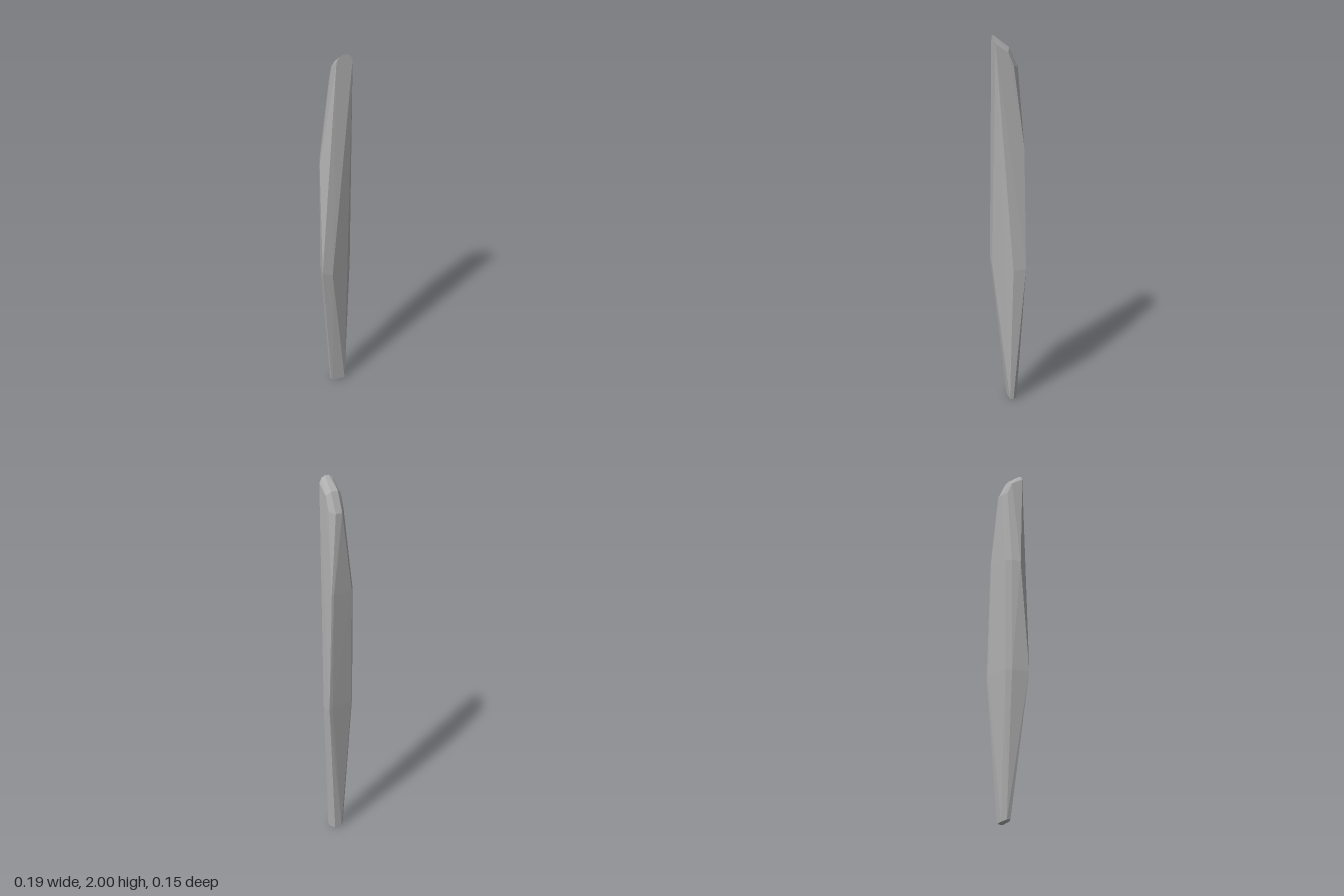
import * as THREE from 'three';
import { ConvexGeometry } from 'three/addons/geometries/ConvexGeometry.js';

export function createModel() {
  const group = new THREE.Group();
  const grey = new THREE.MeshStandardMaterial({ color: 0xb0b0b0 });
  grey.name = 'stoneGrey';

  // Each section lists the corners [x, y, z] of the faceted shard
  const foot = [
    [-0.02, 0.015, 0], [-0.01, 0.005, 0], [0.06, 0.005, 0],
    [-0.02, 0.01, -0.02], [0.06, 0.005, -0.02],
    [0.0, 0.0, -0.042], [0.04, 0.0, -0.042],
  ];
  const belly = [
    [-0.095, 0.78, 0.068], [-0.04, 0.76, 0.07], [0.09, 0.77, -0.01],
    [0.092, 0.78, -0.077], [0.072, 0.79, -0.075],
    [-0.055, 0.78, -0.047], [-0.075, 0.78, -0.02],
  ];
  const shoulder = [
    [-0.091, 1.4, 0.024], [-0.075, 1.41, -0.02],
    [-0.055, 1.41, -0.047], [0.06, 1.43, -0.071], [0.073, 1.43, -0.07],
  ];
  // Rounded tip, sloping down towards the back
  const tip = [
    [-0.022, 1.965, 0.075], [-0.008, 1.99, 0.075], [0.01, 2, 0.075],
    [0.03, 2, 0.075], [0.05, 1.99, 0.075], [0.061, 1.965, 0.075],
    [-0.022, 1.92, 0.01], [0.0, 1.94, 0.0], [0.038, 1.94, 0.0], [0.061, 1.92, 0.01],
    [-0.022, 1.85, -0.018], [0.0, 1.84, -0.045], [0.036, 1.84, -0.045], [0.061, 1.85, -0.018],
  ];

  const points = [...foot, ...belly, ...shoulder, ...tip].map((p) => new THREE.Vector3(...p));
  const shard = new THREE.Mesh(new ConvexGeometry(points), grey);
  shard.name = 'shard';
  group.add(shard);
  return group;
}
